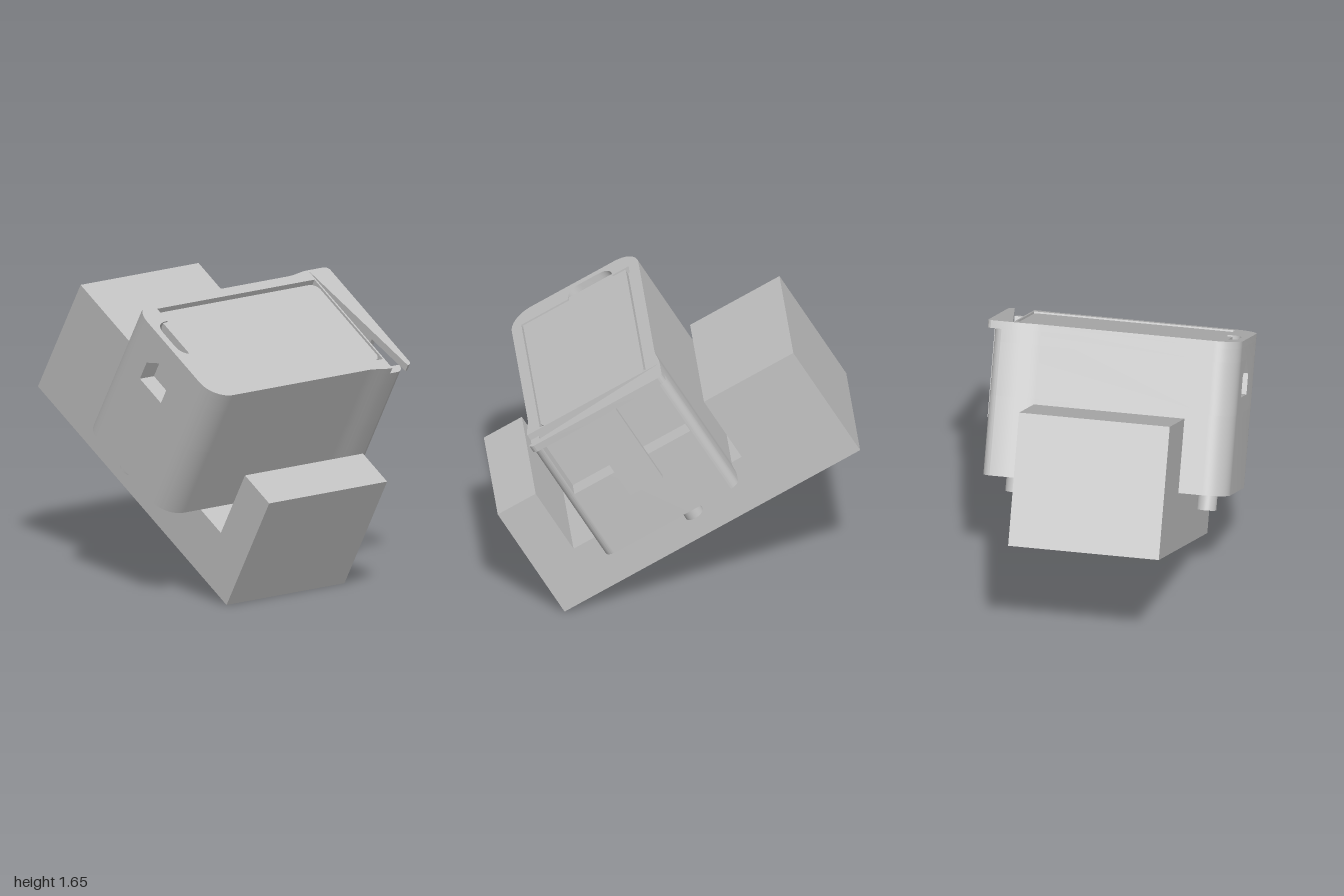
import * as THREE from 'three';
import { toCreasedNormals } from 'three/addons/utils/BufferGeometryUtils.js';

// Working frame before tilting: x across, "a" runs up the slope (-z), "b" is height above the base.
const TILT = Math.PI / 6;
const FRONT = 0.443, BACK = 1.25;       // main shell, along a
const FLARE_F = 0.424, FLARE_B = 1.268; // flared right end, along a
const B = { bottom: 0.32, recess: 0.763, notch: 1.06, rim: 1.137, top: 1.175 };

const grey = new THREE.MeshStandardMaterial({ color: 0xc0c0c0 });
grey.name = 'grey';

function polygon(points, Type = THREE.Shape) {
  return new Type(points.map(([x, y]) => new THREE.Vector2(x, y)));
}

function extrude(shape, depth) {
  return new THREE.ExtrudeGeometry(shape, { depth, bevelEnabled: false, curveSegments: 10 });
}

function mesh(name, geometry) {
  const m = new THREE.Mesh(toCreasedNormals(geometry, 0.5), grey);
  m.name = name;
  return m;
}

// (x, a) outline raised from height b0 to b1
function layer(name, shape, b0, b1) {
  return mesh(name, extrude(shape, b1 - b0).rotateX(-Math.PI / 2).translate(0, b0, 0));
}

// (a, b) outline swept across from x0 to x1
function sideways(name, shape, x0, x1) {
  return mesh(name, extrude(shape, x1 - x0).rotateY(Math.PI / 2).translate(x0, 0, 0));
}

// Shell outline: round left corners, slightly flared right end
function shellOutline({ recess = false, slot = false, cut = false } = {}) {
  const s = new THREE.Shape();
  s.moveTo(-0.56, FRONT);
  s.lineTo(0.4, FRONT);
  s.bezierCurveTo(0.46, FRONT, 0.5, FLARE_F, 0.56, FLARE_F);
  if (cut) {
    s.lineTo(0.56, FLARE_B);
  } else {
    s.absarc(0.61, FLARE_F + 0.05, 0.05, -Math.PI / 2, 0, false);
    if (recess) {
      for (const [x, a] of [[0.66, 0.476], [0.56, 0.476], [0.56, 1.215], [0.66, 1.215]]) s.lineTo(x, a);
    }
    s.absarc(0.61, FLARE_B - 0.05, 0.05, 0, Math.PI / 2, false);
    s.lineTo(0.56, FLARE_B);
  }
  s.bezierCurveTo(0.5, FLARE_B, 0.46, BACK, 0.4, BACK);
  s.absarc(-0.56, BACK - 0.14, 0.14, Math.PI / 2, Math.PI, false);
  if (slot) {
    for (const [x, a] of [[-0.7, 1.08], [-0.6, 1.08], [-0.6, 0.7], [-0.7, 0.7]]) s.lineTo(x, a);
  }
  s.absarc(-0.56, FRONT + 0.14, 0.14, Math.PI, Math.PI * 1.5, false);
  return s;
}

// D-shaped finger notch, traced from its back end to its front end
function traceNotch(path, x) {
  path.lineTo(x, 1.085);
  path.quadraticCurveTo(-0.66, 1.085, -0.66, 1.0);
  path.lineTo(-0.66, 0.89);
  path.quadraticCurveTo(-0.66, 0.805, x, 0.805);
}

export function createModel() {
  const model = new THREE.Group();
  model.name = 'tiltedCaseOnCradle';
  const tilted = new THREE.Group();
  tilted.name = 'tiltedAssembly';
  tilted.rotation.x = TILT;
  tilted.position.z = 0.632;
  model.add(tilted);

  // Cradle block with a front stop and a thick back rest
  tilted.add(sideways('cradle', polygon([
    [0, 0], [1.885, 0], [1.885, 0.738], [1.315, 0.738],
    [1.315, 0.32], [0.242, 0.32], [0.242, 0.738], [0, 0.738],
  ]), -0.44, 0.4));

  // Case shell, stacked in layers so that each opening is a plain cut
  const shell = new THREE.Group();
  shell.name = 'caseShell';
  tilted.add(shell);
  shell.add(layer('lowerShell', shellOutline(), B.bottom, B.recess));
  shell.add(layer('middleShell', shellOutline({ recess: true, slot: true }), B.recess, B.notch));

  const upper = shellOutline({ recess: true });
  const well = new THREE.Path();
  well.moveTo(-0.59, 0.805);
  well.lineTo(-0.59, 1.085);
  traceNotch(well, -0.59);
  upper.holes.push(well);
  shell.add(layer('upperShell', upper, B.notch, B.rim));

  const rim = shellOutline({ cut: true });
  const opening = new THREE.Path();
  opening.moveTo(-0.57, 0.505);
  opening.lineTo(0.55, 0.505);
  opening.lineTo(0.55, 1.189);
  opening.lineTo(-0.57, 1.189);
  traceNotch(opening, -0.57);
  rim.holes.push(opening);
  shell.add(layer('rim', rim, B.rim, B.top));

  // Left wall panel with a gabled opening
  const panel = polygon([[0.7, B.recess], [1.08, B.recess], [1.08, B.notch], [0.7, B.notch]]);
  panel.holes.push(polygon(
    [[0.785, 0.855], [0.785, 0.972], [0.89, 1.054], [0.995, 0.972], [0.995, 0.855]], THREE.Path));
  shell.add(sideways('gabledPanel', panel, -0.7, -0.6));

  // Lid lying just below the rim
  const lid = new THREE.Shape();
  lid.moveTo(-0.6, 0.511);
  lid.lineTo(0.5, 0.511);
  lid.absarc(0.495, 0.561, 0.05, -Math.PI / 2, 0, false);
  lid.absarc(0.495, 1.115, 0.05, 0, Math.PI / 2, false);
  lid.absarc(-0.55, 1.115, 0.05, Math.PI / 2, Math.PI, false);
  tilted.add(layer('lid', lid, B.rim, 1.166));

  // Clip on the right: lip over the end and a tongue down the side
  const lip = new THREE.Shape();
  lip.moveTo(0.56, FLARE_F);
  lip.absarc(0.67, FLARE_F + 0.03, 0.03, -Math.PI / 2, 0, false);
  lip.absarc(0.67, FLARE_B - 0.03, 0.03, 0, Math.PI / 2, false);
  lip.lineTo(0.56, FLARE_B);
  tilted.add(layer('clipLip', lip, B.rim - 0.005, B.top));
  tilted.add(sideways('clipTongue', polygon(
    [[0.74, 0.61], [0.948, 0.61], [0.948, 1.14], [0.74, 1.14]]), 0.67, 0.7));

  // Pegs under both ends of the case
  for (const x of [-0.553, 0.515]) {
    const peg = mesh('peg', new THREE.CylinderGeometry(0.054, 0.054, 0.115, 24));
    peg.position.set(x, 0.2725, -0.94);
    tilted.add(peg);
  }
  return model;
}
